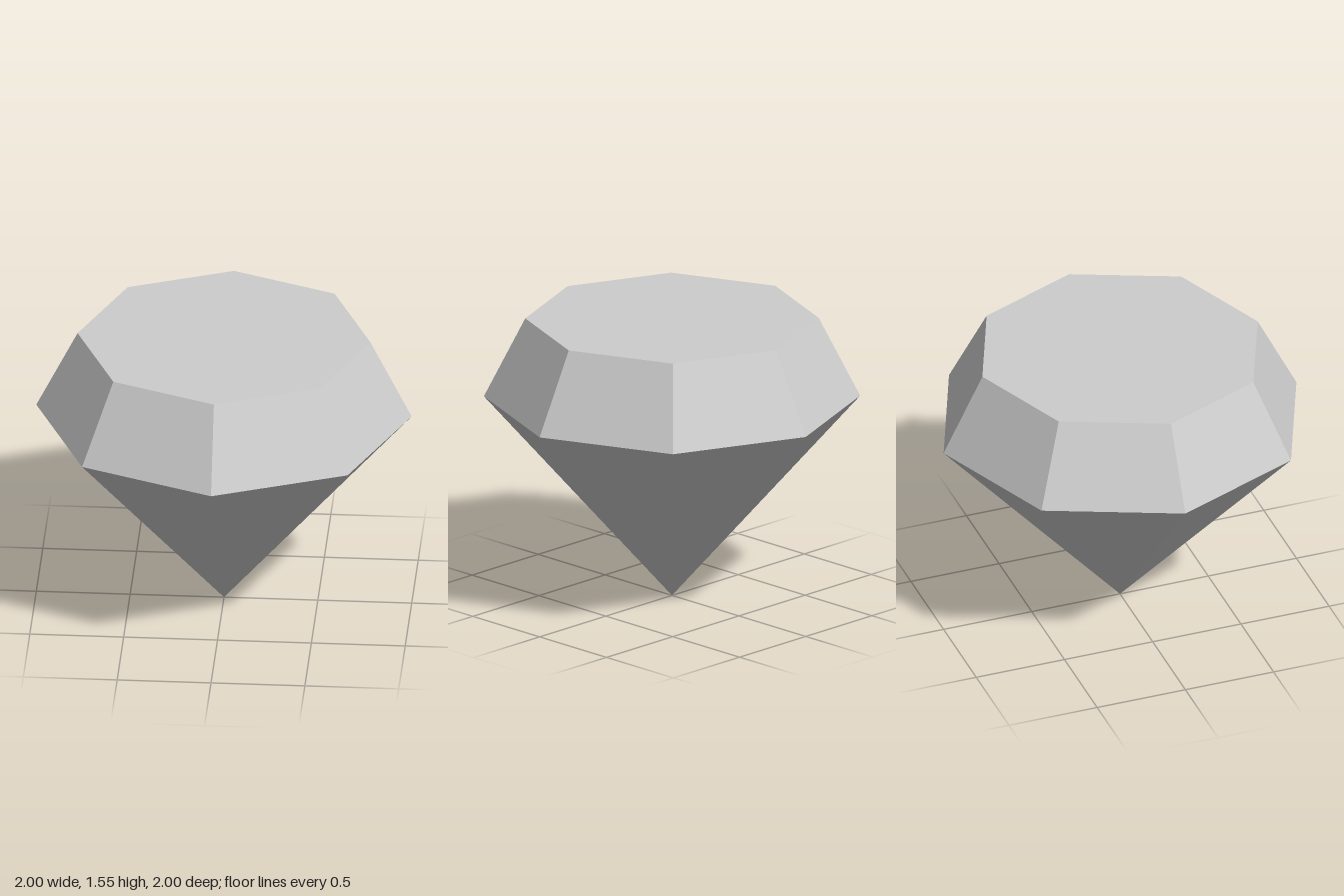
import * as THREE from 'three';

const SIDES = 8;
const GIRDLE_Y = 1.115, TOP_Y = 1.55;
const GIRDLE_R = 1, TABLE_R = 0.78;

export function createModel() {
  const gem = new THREE.Group();
  gem.name = 'gem';

  const lightGrey = new THREE.MeshStandardMaterial({ color: 0xcccccc });
  lightGrey.name = 'lightGrey';

  // Each facet keeps its own flat normal
  const add = (name, geometry, y) => {
    const flat = geometry.toNonIndexed();
    flat.computeVertexNormals();
    const mesh = new THREE.Mesh(flat, lightGrey);
    mesh.name = name;
    mesh.position.y = y;
    gem.add(mesh);
  };

  // Open octagonal ring of facets between two heights
  const facets = (name, rTop, rBottom, y0, y1) => add(
    name,
    new THREE.CylinderGeometry(rTop, rBottom, y1 - y0, SIDES, 1, true),
    (y0 + y1) / 2
  );

  // Pointed lower part
  facets('pavilion', GIRDLE_R, 0, 0, GIRDLE_Y);
  // Sloping band above the widest edge
  facets('crown', TABLE_R, GIRDLE_R, GIRDLE_Y, TOP_Y);
  // Flat top face
  add('table', new THREE.CircleGeometry(TABLE_R, SIDES).rotateX(-Math.PI / 2), TOP_Y);

  return gem;
}
